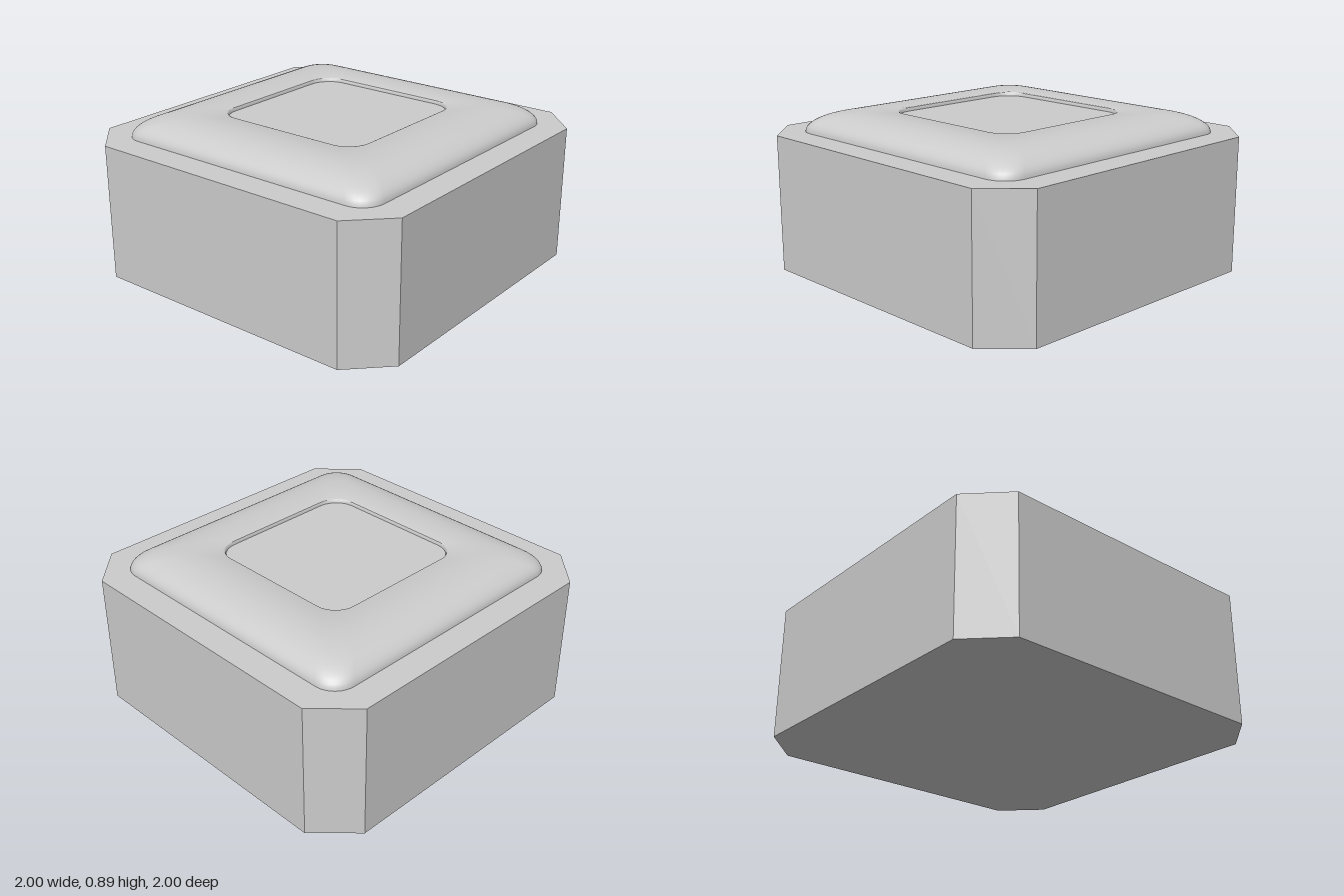
import * as THREE from 'three';
import { toCreasedNormals } from 'three/addons/utils/BufferGeometryUtils.js';

// Points round a rounded square in the xz plane
function roundedSquare(half, radius, steps) {
  const points = [];
  for (let corner = 0; corner < 4; corner++) {
    const mid = (corner + 0.5) * Math.PI / 2;
    const cx = Math.sign(Math.cos(mid)) * (half - radius);
    const cz = Math.sign(Math.sin(mid)) * (half - radius);
    for (let i = 0; i <= steps; i++) {
      const a = (corner + i / steps) * Math.PI / 2;
      points.push([cx + radius * Math.cos(a), cz + radius * Math.sin(a)]);
    }
  }
  return points;
}

// Joins rounded-square rings, given as [half width, height], and closes the last
function ringSurface(profile, radius, steps) {
  const positions = [], index = [];
  const n = 4 * (steps + 1);
  for (const [half, y] of profile) {
    for (const [x, z] of roundedSquare(half, radius, steps)) positions.push(x, y, z);
  }
  for (let r = 0; r < profile.length - 1; r++) {
    for (let j = 0; j < n; j++) {
      const a = r * n + j, b = r * n + (j + 1) % n;
      index.push(a, a + n, b, b, a + n, b + n);
    }
  }
  const last = (profile.length - 1) * n;
  positions.push(0, profile[profile.length - 1][1], 0);
  for (let j = 0; j < n; j++) index.push(profile.length * n, last + (j + 1) % n, last + j);
  const geometry = new THREE.BufferGeometry();
  geometry.setAttribute('position', new THREE.Float32BufferAttribute(positions, 3));
  geometry.setIndex(index);
  return toCreasedNormals(geometry, 0.6);
}

export function createModel() {
  const model = new THREE.Group();
  model.name = 'cushionedBlock';
  const grey = new THREE.MeshStandardMaterial({ color: 0xcccccc });
  grey.name = 'light grey';

  // Block with chamfered vertical corners
  const height = 0.775, c = 0.79;
  const outline = new THREE.Shape([
    [c, -1], [1, -c], [1, c], [c, 1], [-c, 1], [-1, c], [-1, -c], [-c, -1],
  ].map(([x, y]) => new THREE.Vector2(x, y)));
  const baseGeometry = new THREE.ExtrudeGeometry(outline, { depth: height, bevelEnabled: false });
  baseGeometry.rotateX(-Math.PI / 2);
  const base = new THREE.Mesh(baseGeometry, grey);
  base.name = 'base';
  model.add(base);

  // Domed pad: elliptical shoulder, flat rim, then a shallow square recess
  const top = 0.89, profile = [];
  for (let i = 0; i <= 12; i++) {
    const a = i / 12 * Math.PI / 2;
    profile.push([0.6 + 0.24 * Math.cos(a), height + (top - height) * Math.sin(a)]);
  }
  profile.push([0.475, top], [0.468, top - 0.003], [0.464, top - 0.01], [0.463, top - 0.022]);
  const pad = new THREE.Mesh(ringSurface(profile, 0.13, 8), grey);
  pad.name = 'pad';
  model.add(pad);

  return model;
}
